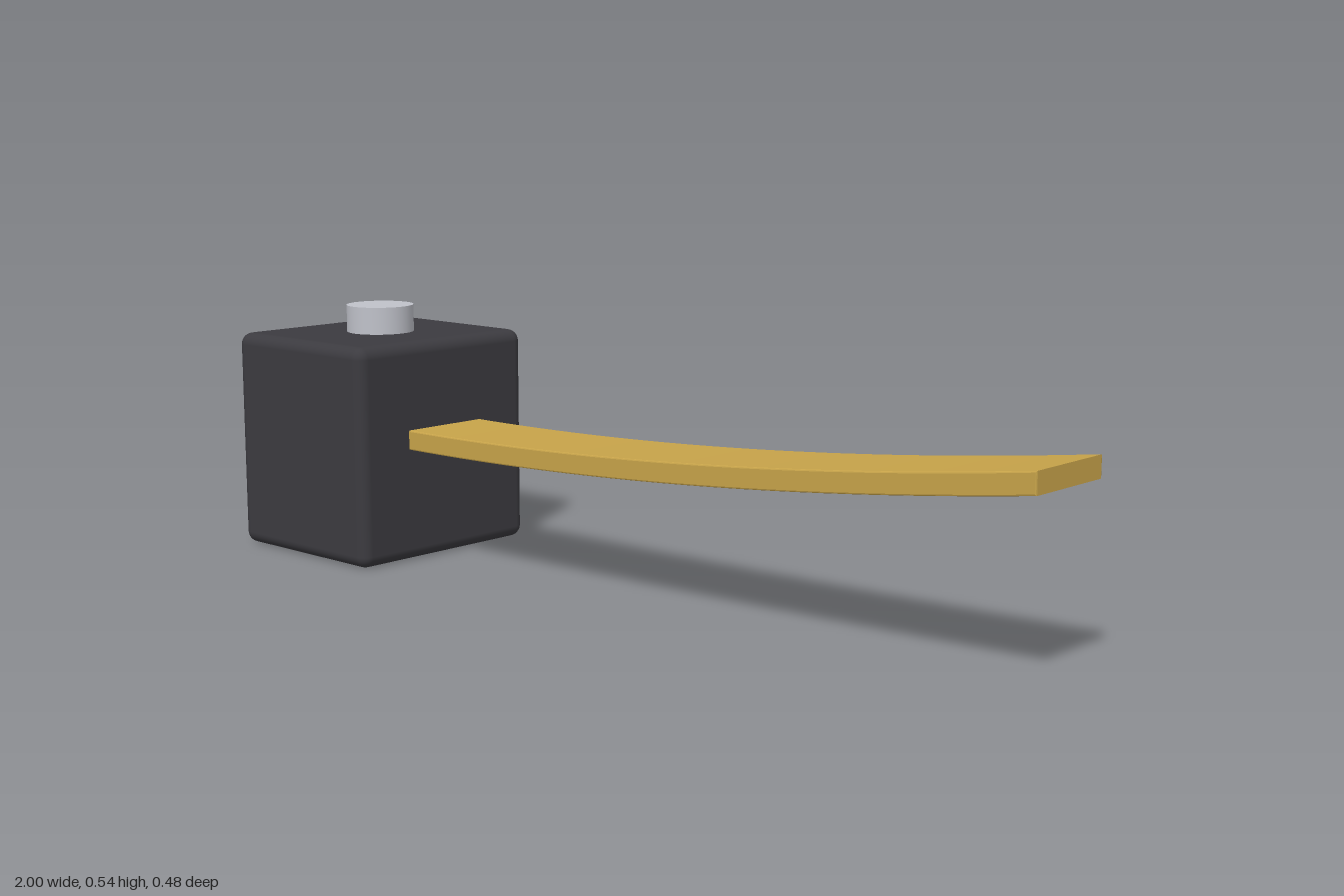
import * as THREE from 'three';
import { RoundedBoxGeometry } from 'three/addons/geometries/RoundedBoxGeometry.js';

const material = (name, color) => {
  const m = new THREE.MeshStandardMaterial({ color });
  m.name = name;
  return m;
};

export function createModel() {
  const group = new THREE.Group();
  const charcoal = material('charcoal', 0x3c3b40);
  const brass = material('brass', 0xc8a44a);
  const steel = material('steel', 0xc0c2ca);

  const add = (name, geometry, mat, x = 0, y = 0, z = 0) => {
    const mesh = new THREE.Mesh(geometry, mat);
    mesh.name = name;
    mesh.position.set(x, y, z);
    group.add(mesh);
  };

  // Clamp block with softly rounded edges
  add('clampBlock', new RoundedBoxGeometry(0.424, 0.48, 0.48, 5, 0.026), charcoal, -0.788, 0.24, 0);

  // Screw head on top of the block
  add('screwHead', new THREE.CylinderGeometry(0.075, 0.075, 0.08, 32), steel, -0.788, 0.5, 0);

  // Leaf spring: a thin strip that bends upward towards its free end
  const startX = -0.578, endX = 0.996, steps = 32, bevel = 0.003;
  const halfThickness = 0.0215 - bevel;
  const upper = [], lower = [];
  for (let i = 0; i <= steps; i++) {
    const t = i / steps;
    const x = startX + (endX - startX) * t;
    const y = 0.268 + 0.117 * t * t;
    upper.push(new THREE.Vector2(x, y + halfThickness));
    lower.push(new THREE.Vector2(x, y - halfThickness));
  }
  const profile = new THREE.Shape([...lower, ...upper.reverse()]);
  const strip = new THREE.ExtrudeGeometry(profile, {
    depth: 0.21 - 2 * bevel,
    bevelEnabled: true,
    bevelThickness: bevel,
    bevelSize: bevel,
    bevelSegments: 2,
  });
  strip.translate(0, 0, -0.105 + bevel);
  add('leafSpring', strip, brass);

  return group;
}
